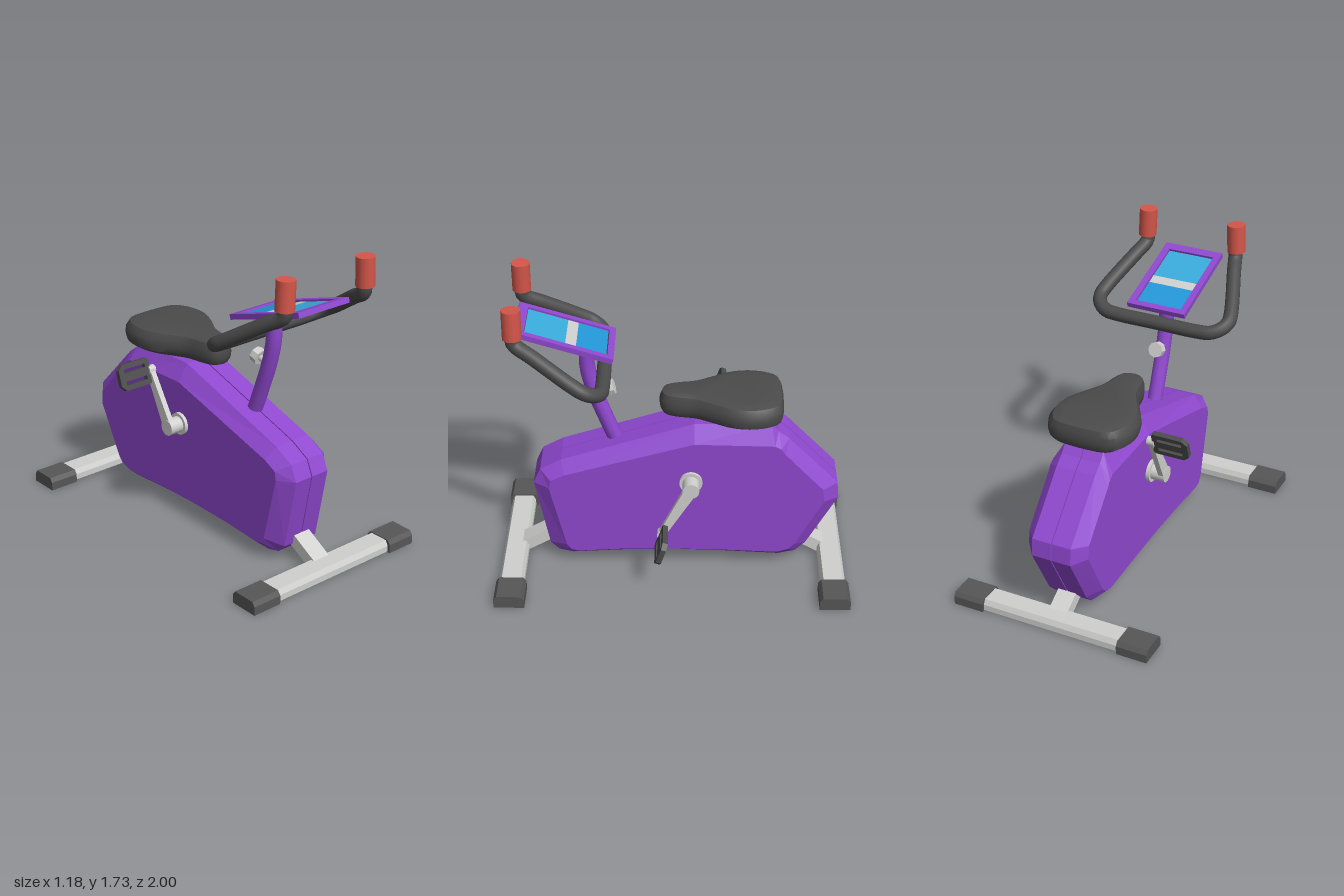
import * as THREE from 'three';
import { toCreasedNormals } from 'three/addons/utils/BufferGeometryUtils.js';

const mat = (name, color) => new THREE.MeshStandardMaterial({ name, color });
const V2 = (p) => new THREE.Vector2(p[0], p[1]);

// Skin a stack of counter-clockwise XY outlines placed at rising z, with end caps
function loft(rings, levels) {
  const pos = [];
  const put = (k, i) => pos.push(rings[k][i][0], rings[k][i][1], levels[k]);
  const n = rings[0].length, last = rings.length - 1;
  for (let k = 0; k < last; k++) {
    for (let i = 0; i < n; i++) {
      const j = (i + 1) % n;
      put(k, i); put(k, j); put(k + 1, j);
      put(k, i); put(k + 1, j); put(k + 1, i);
    }
  }
  for (const k of [0, last]) {
    for (const f of THREE.ShapeUtils.triangulateShape(rings[k].map(V2), [])) {
      const ccw = THREE.ShapeUtils.area(f.map((i) => V2(rings[k][i]))) > 0;
      const t = ccw === (k === last) ? f : [f[0], f[2], f[1]];
      t.forEach((i) => put(k, i));
    }
  }
  const g = new THREE.BufferGeometry();
  g.setAttribute('position', new THREE.Float32BufferAttribute(pos, 3));
  g.computeVertexNormals();
  return g;
}

// Extrude a (z, y) outline across x, centred on x = 0
function acrossX(points, width, holes = []) {
  const s = new THREE.Shape(points.map(V2));
  s.holes = holes.map((h) => new THREE.Path(h.map(V2)));
  return new THREE.ExtrudeGeometry(s, { depth: width, bevelEnabled: false })
    .translate(0, 0, -width / 2).rotateY(-Math.PI / 2);
}

const rect = (x0, y0, x1, y1) => [[x0, y0], [x1, y0], [x1, y1], [x0, y1]];

export function createModel() {
  const model = new THREE.Group();
  model.name = 'exerciseBike';
  const purple = mat('purple', 0x8f48cf);
  const charcoal = mat('charcoal', 0x4b4b4b);
  const rubber = mat('rubber', 0x565656);
  const silver = mat('silver', 0xd0d0ce);
  const red = mat('red', 0xd4564a);
  const blue = mat('blue', 0x2498d8);
  const lightBlue = mat('lightBlue', 0x3aacdc);

  const add = (name, geo, material, x = 0, y = 0, z = 0, parent = model) => {
    const m = new THREE.Mesh(geo, material);
    m.name = name;
    m.position.set(x, y, z);
    parent.add(m);
    return m;
  };

  // Body: two bevelled shells with a narrow seam
  const outer = [[0.79, 0.53], [0.75, 0.62], [0.63, 0.685], [-0.12, 0.925], [-0.55, 0.93],
    [-0.59, 0.88], [-0.65, 0.835], [-0.935, 0.54], [-0.945, 0.44], [-0.77, 0.12], [-0.71, 0.06], [-0.61, 0.038],
    [-0.3, 0.055], [0, 0.065], [0.3, 0.057], [0.58, 0.04], [0.66, 0.06], [0.71, 0.11]];
  const inner = [[0.70, 0.53], [0.69, 0.58], [0.61, 0.62], [-0.12, 0.83], [-0.57, 0.82],
    [-0.605, 0.80], [-0.63, 0.765], [-0.85, 0.53], [-0.86, 0.45], [-0.70, 0.15], [-0.665, 0.115], [-0.60, 0.095],
    [-0.3, 0.108], [0, 0.115], [0.3, 0.11], [0.54, 0.095], [0.585, 0.105], [0.61, 0.14]];
  add('leftShell', loft([inner, outer, outer], [-0.18, -0.115, -0.003]).rotateY(-Math.PI / 2), purple);
  add('rightShell', loft([outer, outer, inner], [0.003, 0.115, 0.18]).rotateY(-Math.PI / 2), purple);

  // Floor stabilisers: hollow bars, end caps and sloping struts
  const barOut = [[-0.07, 0.005], [0.07, 0.005], [0.07, 0.04], [0.055, 0.07], [-0.055, 0.07], [-0.07, 0.04]];
  const barU = [[-0.07, 0.005], [-0.055, 0.005], [-0.055, 0.055], [0.055, 0.055], [0.055, 0.005],
    ...barOut.slice(1)];
  const capOut = [[-0.086, 0], [0.086, 0], [0.086, 0.05], [0.068, 0.075], [-0.068, 0.075], [-0.086, 0.05]];
  const capU = [[-0.086, 0], [-0.066, 0], [-0.066, 0.055], [0.066, 0.055], [0.066, 0], ...capOut.slice(1)];
  for (const s of [1, -1]) {
    const end = s > 0 ? 'front' : 'rear';
    add(end + 'Bar', acrossX(barU, 0.9), silver, 0, 0, s * 0.914);
    for (const side of [1, -1]) {
      add(end + 'FootCap', acrossX(capU, 0.16), rubber, side * 0.495, 0, s * 0.914);
      add(end + 'FootCapEnd', acrossX(capOut, 0.016), rubber, side * 0.582, 0, s * 0.914);
      add(end + 'FootCapInnerEnd', acrossX(capOut, 0.01), rubber, side * 0.415, 0, s * 0.914);
    }
    const strut = add(end + 'Strut', new THREE.BoxGeometry(0.11, 0.07, 0.3), silver, 0, 0.11, s * 0.74);
    strut.rotation.x = s * 0.52;
  }

  // Seat: stacked pear outlines with a rounded rim
  const half = new THREE.SplineCurve([[0, -0.075], [0.06, -0.055], [0.092, 0.01], [0.115, 0.12], [0.165, 0.21],
    [0.228, 0.32], [0.25, 0.43], [0.225, 0.54], [0.16, 0.605], [0, 0.617]].map(V2)).getPoints(24);
  const pear = [...half, ...half.slice(1, -1).reverse().map((p) => V2([-p.x, p.y]))];
  const scaled = (a, b) => pear.map((p) => [p.x * a, 0.29 + (p.y - 0.29) * b]);
  const seatGeo = loft([scaled(0.84, 0.95), scaled(0.96, 0.985), scaled(1, 1), scaled(0.98, 0.995),
    scaled(0.88, 0.96), scaled(0.7, 0.87)], [0.95, 0.97, 1.005, 1.045, 1.077, 1.09]).rotateX(-Math.PI / 2);
  add('seat', toCreasedNormals(seatGeo, 0.6), charcoal);
  add('seatPost', new THREE.CylinderGeometry(0.04, 0.04, 0.2, 12), silver, 0, 0.88, -0.29);
  add('seatClamp', new THREE.BoxGeometry(0.1, 0.025, 0.13), silver, 0, 0.945, -0.29);

  // Curved steering post and its adjusting knob
  const post = new THREE.CatmullRomCurve3([[0.71, 0.3], [0.78, 0.33], [0.92, 0.383], [1.06, 0.433],
    [1.2, 0.468], [1.28, 0.474], [1.37, 0.468]].map(([y, z]) => new THREE.Vector3(0, y, z)));
  add('post', new THREE.TubeGeometry(post, 16, 0.044, 10), purple);
  const knob = new THREE.Group();
  knob.name = 'knob';
  knob.position.set(0, 1.07, 0.425);
  knob.rotation.x = -Math.PI / 2 + 0.3;
  model.add(knob);
  add('knobStem', new THREE.CylinderGeometry(0.018, 0.018, 0.08, 8), silver, 0, 0.04, 0, knob);
  add('knobHead', toCreasedNormals(new THREE.CylinderGeometry(0.045, 0.045, 0.045, 8), 0.4),
    silver, 0, 0.08, 0, knob);

  // Console: framed tray with a striped display
  const con = new THREE.Group();
  con.name = 'console';
  con.position.set(-0.002, 1.435, 0.585);
  con.rotation.x = -0.3;
  model.add(con);
  const frame = new THREE.Shape(rect(-0.178, -0.276, 0.178, 0.276).map(V2));
  frame.holes.push(new THREE.Path(rect(-0.141, -0.225, 0.139, 0.24).map(V2)));
  add('consoleFrame', new THREE.ExtrudeGeometry(frame, { depth: 0.03, bevelEnabled: false })
    .rotateX(-Math.PI / 2), purple, 0, -0.015, 0, con);
  add('consoleBack', new THREE.BoxGeometry(0.34, 0.012, 0.53), purple, 0, -0.008, 0, con);
  add('displayBorder', new THREE.BoxGeometry(0.28, 0.004, 0.464), charcoal, -0.001, 0, -0.0075, con);
  const strip = (name, z0, z1, m) =>
    add(name, new THREE.BoxGeometry(0.272, 0.005, z1 - z0), m, -0.001, 0.003, (z0 + z1) / 2, con);
  strip('displayLower', -0.236, -0.066, blue);
  strip('displayStripe', -0.066, -0.006, silver);
  strip('displayUpper', -0.006, 0.221, lightBlue);
  add('consoleNeck', new THREE.CylinderGeometry(0.1, 0.044, 0.06, 16), purple, 0, -0.044, -0.11, con);

  // Handlebar with upright grips
  const bars = new THREE.Group();
  bars.name = 'handlebar';
  bars.position.x = 0.015;
  model.add(bars);
  const arm = [[0.25, 1.25, 0.375], [0.325, 1.255, 0.382], [0.38, 1.275, 0.415], [0.404, 1.303, 0.465],
    [0.395, 1.335, 0.52], [0.31, 1.475, 0.75], [0.287, 1.51, 0.815], [0.28, 1.535, 0.838], [0.279, 1.6, 0.84]];
  const mirrored = arm.map(([x, y, z]) => [-x, y, z]).reverse();
  const path = new THREE.CatmullRomCurve3([...mirrored, [0, 1.25, 0.375], ...arm]
    .map((p) => new THREE.Vector3(...p)));
  add('barTube', new THREE.TubeGeometry(path, 90, 0.041, 12), charcoal, 0, 0, 0, bars);
  for (const s of [1, -1]) {
    const grip = add('grip', new THREE.CylinderGeometry(0.052, 0.052, 0.165, 16), red, s * 0.28, 1.645, 0.84, bars);
    grip.rotation.z = s * 0.04;
  }

  // Cranks and slotted pedals, half a turn apart
  const dz = 0.165, dy = -0.3;
  const pedal = new THREE.Shape([[0, -0.075], [0.17, -0.075], [0.2, -0.045], [0.2, 0.045], [0.17, 0.075],
    [0, 0.075], [-0.01, 0.06], [-0.01, -0.06]].map(V2));
  for (const y of [-0.046, -0.011, 0.024]) {
    if (y !== -0.011) pedal.holes.push(new THREE.Path(rect(0.02, y, 0.165, y + 0.022).map(V2)));
  }
  const pedalGeo = new THREE.ExtrudeGeometry(pedal, { depth: 0.03, bevelEnabled: false }).translate(0, 0, -0.015);
  for (const s of [1, -1]) {
    const crank = new THREE.Group();
    crank.name = s > 0 ? 'leftCrank' : 'rightCrank';
    crank.position.set(0, 0.583, -0.103);
    model.add(crank);
    const disc = (name, r, x0, x1, y, z) =>
      add(name, new THREE.CylinderGeometry(r, r, x1 - x0, 20).rotateZ(Math.PI / 2),
        silver, s * (x0 + x1) / 2, y, z, crank);
    disc('crankPlate', 0.065, 0.17, 0.2, 0, 0);
    disc('crankHub', 0.047, 0.19, 0.283, 0, 0);
    disc('pedalBoss', 0.026, 0.242, 0.285, s * dy, s * dz);
    const armGeo = acrossX([[-0.02, dy * 1.09], [0.02, dy * 1.09], [0.036, 0], [-0.036, 0]]
      .map(([w, l]) => [w, l * 1.05]), 0.032);
    const armMesh = add('crankArm', armGeo, silver, s * 0.264, 0, 0, crank);
    armMesh.rotation.x = (s > 0 ? 0 : Math.PI) - Math.atan2(dz, -dy);
    const p = add('pedal', pedalGeo, charcoal, s * 0.285, s * dy, s * dz, crank);
    p.rotation.set(-0.33, 0, s > 0 ? 0 : Math.PI);
    const axle = add('pedalAxle', new THREE.CylinderGeometry(0.012, 0.012, 0.06, 8).rotateZ(Math.PI / 2),
      silver, s * 0.28, s * dy, s * dz, crank);
    axle.castShadow = false;
  }
  return model;
}
